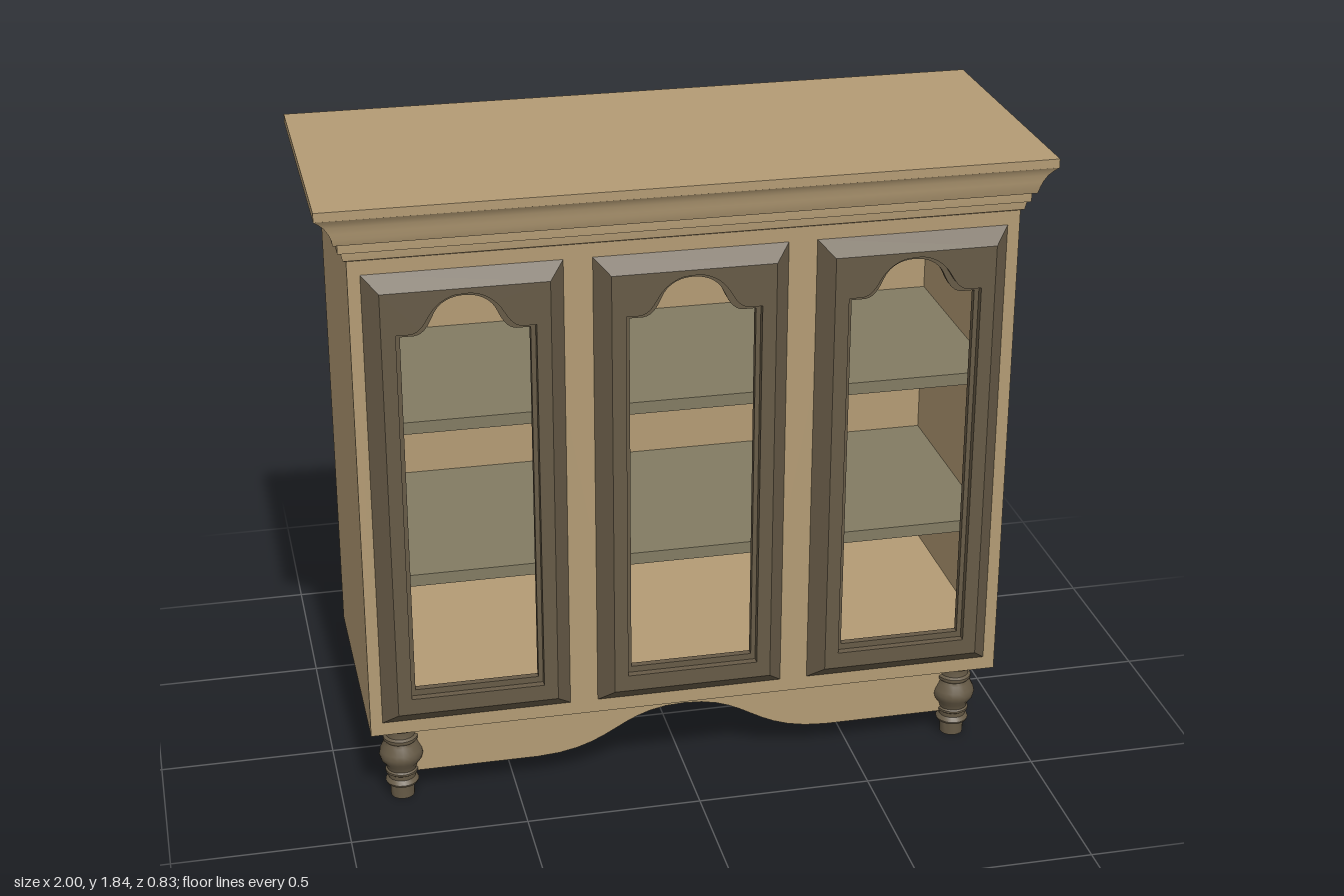
import * as THREE from 'three';
import { toCreasedNormals } from 'three/addons/utils/BufferGeometryUtils.js';

const mat = (color) => new THREE.MeshStandardMaterial({ color, roughness: 0.8 });

export function createModel() {
  const model = new THREE.Group();
  model.name = 'displayCabinet';
  const wood = mat(0xb39b74), darkWood = mat(0x665a46), shelfWood = mat(0x827b62);

  const add = (name, geometry, material, x = 0, y = 0, z = 0, parent = model) => {
    const mesh = new THREE.Mesh(geometry, material);
    mesh.name = name;
    mesh.position.set(x, y, z);
    parent.add(mesh);
    return mesh;
  };
  // Box given by its lower and upper corners
  const box = (name, material, x0, x1, y0, y1, z0, z1) =>
    add(name, new THREE.BoxGeometry(x1 - x0, y1 - y0, z1 - z0), material,
      (x0 + x1) / 2, (y0 + y1) / 2, (z0 + z1) / 2);
  const rect = (P, x0, x1, y0, y1) => {
    const p = new P();
    p.moveTo(x0, y0); p.lineTo(x1, y0); p.lineTo(x1, y1); p.lineTo(x0, y1); p.closePath();
    return p;
  };
  const extrude = (shape, depth) =>
    new THREE.ExtrudeGeometry(shape, { depth, bevelEnabled: false, curveSegments: 10 });

  const HX = 0.917, Y0 = 0.25, Y1 = 1.68, ZB = -0.357, ZF = 0.36;
  const doorX = [-0.615, 0, 0.615];

  // Carcass panels
  for (const s of [-1, 1]) {
    const xs = [s * HX, s * (HX - 0.035)].sort((a, b) => a - b);
    box('sidePanel', wood, xs[0], xs[1], Y0, Y1, ZB, ZF);
  }
  box('backPanel', wood, -HX + 0.035, HX - 0.035, Y0, Y1, ZB, ZB + 0.02);
  box('floorPanel', wood, -HX + 0.035, HX - 0.035, Y0, 0.37, ZB + 0.02, 0.33);
  box('ceilingPanel', wood, -HX + 0.035, HX - 0.035, 1.64, Y1, ZB + 0.02, 0.33);

  // Face frame with an opening behind each door
  const face = rect(THREE.Shape, -HX + 0.035, HX - 0.035, Y0, Y1);
  for (const x of doorX) face.holes.push(rect(THREE.Path, x - 0.2, x + 0.2, 0.37, 1.6));
  add('faceFrame', extrude(face, 0.03), wood, 0, 0, 0.33);

  // Two shelves across the full width
  for (const y of [0.69, 1.152])
    box('shelf', shelfWood, -HX + 0.035, HX - 0.035, y, y + 0.035, ZB + 0.02, 0.32);

  // Crown moulding: rectangular sections [y, half width, half depth]
  const crown = [
    [1.675, 0.917, 0.358], [1.68, 0.926, 0.367], [1.705, 0.932, 0.37], [1.705, 0.94, 0.379],
    [1.733, 0.94, 0.379], [1.733, 0.952, 0.392], [1.75, 0.955, 0.398], [1.768, 0.962, 0.401],
    [1.787, 0.974, 0.405], [1.80, 0.988, 0.41], [1.81, 1.0, 0.417], [1.835, 1.0, 0.417],
  ];
  const corners = [[1, 1], [1, -1], [-1, -1], [-1, 1]];
  const pos = [], idx = [], last = (crown.length - 1) * 4;
  for (const [y, hx, hz] of crown) for (const [sx, sz] of corners) pos.push(sx * hx, y, sz * hz);
  for (let r = 0; r < last; r += 4)
    for (let k = 0; k < 4; k++) {
      const a = r + k, b = r + (k + 1) % 4;
      idx.push(a, b, b + 4, a, b + 4, a + 4);
    }
  idx.push(last, last + 1, last + 2, last, last + 2, last + 3, 0, 2, 1, 0, 3, 2);
  const crownGeo = new THREE.BufferGeometry();
  crownGeo.setAttribute('position', new THREE.Float32BufferAttribute(pos, 3));
  crownGeo.setIndex(idx);
  add('crownMoulding', toCreasedNormals(crownGeo, 0.4), wood);

  // Arched door opening, shrunk by i
  const opening = (P, i) => {
    const p = new P(), w = 0.187 - i, top = 1.475 - i;
    p.moveTo(-w, 0.38 + i * 1.4);
    p.lineTo(w, 0.38 + i * 1.4);
    p.lineTo(w, top);
    p.lineTo(0.15 - i, top);
    p.bezierCurveTo(0.115 - i, top + 0.003, 0.105 - i, top + 0.045, 0.085 - i / 2, top + 0.067);
    p.bezierCurveTo(0.06, top + 0.095, 0.03, top + 0.105, 0, top + 0.105);
    p.bezierCurveTo(-0.03, top + 0.105, -0.06, top + 0.095, -0.085 + i / 2, top + 0.067);
    p.bezierCurveTo(-0.105 + i, top + 0.045, -0.115 + i, top + 0.003, -0.15 + i, top);
    p.lineTo(-w, top);
    p.closePath();
    return p;
  };

  // Door frame: the outer front edge is pulled inward to make a wide chamfer
  const DW = 0.268, DB = 0.29, DT = 1.636, CH = 0.042;
  const doorShape = rect(THREE.Shape, -DW, DW, DB, DT);
  doorShape.holes.push(opening(THREE.Path, 0));
  let doorGeo = extrude(doorShape, 0.043);
  const p = doorGeo.attributes.position;
  for (let i = 0; i < p.count; i++) {
    if (p.getZ(i) < 0.02) continue;
    const x = p.getX(i), y = p.getY(i);
    if (Math.abs(x) > DW - 0.001) p.setX(i, x - Math.sign(x) * CH);
    if (y < DB + 0.001) p.setY(i, y + CH);
    if (y > DT - 0.001) p.setY(i, y - CH);
  }
  doorGeo = toCreasedNormals(doorGeo, 0.5);

  // Stepped bead lining the opening
  const beadShape = opening(THREE.Shape, -0.004);
  beadShape.holes.push(opening(THREE.Path, 0.013));
  const beadGeo = toCreasedNormals(extrude(beadShape, 0.02), 0.5);

  for (const x of doorX) {
    const door = new THREE.Group();
    door.name = 'door';
    door.position.set(x, 0, ZF);
    model.add(door);
    add('doorFrame', doorGeo, darkWood, 0, 0, 0, door);
    add('doorBead', beadGeo, darkWood, 0, 0, 0.002, door);
  }

  // Scalloped aprons between the legs
  const apron = new THREE.Shape();
  apron.moveTo(-0.8, Y0);
  apron.lineTo(-0.8, 0.075);
  apron.lineTo(-0.43, 0.075);
  apron.bezierCurveTo(-0.2, 0.08, -0.2, 0.2, 0, 0.2);
  apron.bezierCurveTo(0.2, 0.2, 0.2, 0.08, 0.43, 0.075);
  apron.lineTo(0.8, 0.075);
  apron.lineTo(0.8, Y0);
  apron.closePath();
  const apronGeo = toCreasedNormals(extrude(apron, 0.02), 0.5);

  // Turned leg profile [radius, y]
  const leg = [
    [0, 0], [0.034, 0], [0.035, 0.04], [0.045, 0.043], [0.048, 0.05], [0.044, 0.057],
    [0.039, 0.062], [0.04, 0.075], [0.047, 0.08], [0.047, 0.086], [0.042, 0.09],
    [0.046, 0.105], [0.059, 0.122], [0.063, 0.138], [0.06, 0.152], [0.05, 0.172],
    [0.046, 0.182], [0.05, 0.187], [0.05, 0.195], [0.042, 0.2], [0.039, 0.215],
    [0.041, 0.232], [0.065, 0.234], [0.065, 0.252], [0, 0.252],
  ].map(([r, y]) => new THREE.Vector2(r, y));
  const legGeo = toCreasedNormals(new THREE.LatheGeometry(leg, 20), 0.7);

  for (const [end, z] of [['front', 0.272], ['back', -0.252]]) {
    add(end + 'Apron', apronGeo, wood, 0, 0, z - 0.01);
    for (const x of [-0.826, 0.826]) add(end + 'Leg', legGeo, darkWood, x, 0, z);
  }
  return model;
}
